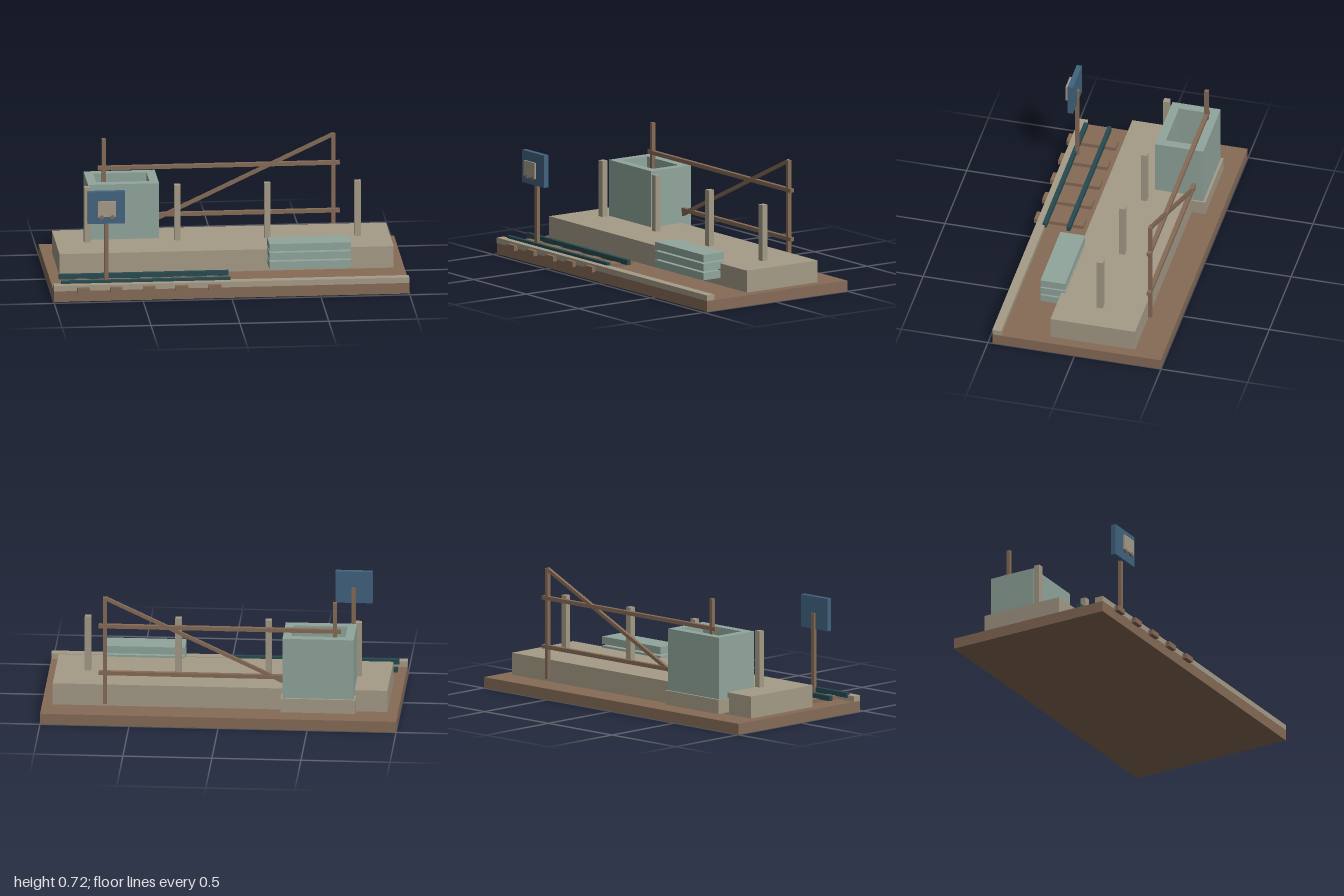
import * as THREE from 'three';

export function createModel() {
  const model = new THREE.Group();
  model.name = 'railwayYard';

  const mat = (name, color) => {
    const m = new THREE.MeshStandardMaterial({ color });
    m.name = name;
    return m;
  };
  const brown = mat('brownTimber', 0x866b57);
  const stone = mat('paleStone', 0xa59b87);
  const mint = mat('greyGreen', 0x91a69c);
  const rail = mat('darkTealSteel', 0x254a50);
  const blue = mat('signBlue', 0x41637f);

  const add = (name, geometry, material, x, y, z) => {
    const mesh = new THREE.Mesh(geometry, material);
    mesh.name = name;
    mesh.position.set(x, y, z);
    model.add(mesh);
    return mesh;
  };
  // Box given by its minimum and maximum along each axis
  const box = (name, material, [x0, x1], [y0, y1], [z0, z1]) =>
    add(name, new THREE.BoxGeometry(x1 - x0, y1 - y0, z1 - z0), material,
      (x0 + x1) / 2, (y0 + y1) / 2, (z0 + z1) / 2);

  // Ground, platform and front curb
  box('ground', brown, [-1, 1], [0, 0.062], [-0.498, 0.474]);
  box('platform', stone, [-0.94, 0.94], [0.062, 0.187], [-0.335, 0.154]);
  box('curb', stone, [-1, 1], [0.062, 0.094], [0.424, 0.475]);

  // Row of platform posts
  for (const x of [-0.763, -0.256, 0.25, 0.758])
    box('platformPost', stone, [x - 0.0175, x + 0.0175], [0.187, 0.507], [-0.107, -0.072]);

  // Open-topped tank: a rectangular wall ring on a plinth
  box('tankPlinth', stone, [-0.765, -0.345], [0.075, 0.156], [-0.417, -0.112]);
  const rect = (path, w, d) => path.moveTo(-w, -d).lineTo(w, -d).lineTo(w, d).lineTo(-w, d).closePath();
  const ring = rect(new THREE.Shape(), 0.2, 0.139);
  ring.holes.push(rect(new THREE.Path(), 0.15, 0.089));
  const wall = new THREE.ExtrudeGeometry(ring, { depth: 0.351, bevelEnabled: false });
  wall.rotateX(-Math.PI / 2);
  add('tankWalls', wall, mint, -0.555, 0.156, -0.264);

  // Timber frame with rails and a diagonal brace
  for (const x of [-0.647, 0.645])
    box('framePost', brown, [x - 0.011, x + 0.011], [0.08, 0.71], [-0.36, -0.338]);
  for (const y of [0.262, 0.54])
    box('frameRail', brown, [-0.68, 0.68], [y - 0.011, y + 0.011], [-0.361, -0.337]);
  const low = new THREE.Vector2(-0.645, 0.1), high = new THREE.Vector2(0.645, 0.706);
  const span = high.clone().sub(low);
  const brace = add('frameBrace', new THREE.BoxGeometry(span.length(), 0.02, 0.018), brown,
    0, (low.y + high.y) / 2, -0.349);
  brace.rotation.z = span.angle();

  // Stack of slabs
  for (let i = 0; i < 3; i++) {
    const y = 0.105 + i * 0.0515;
    box('stackedSlab', mint, [0.23, 0.69], [y, y + 0.042], [0.132, 0.275]);
  }

  // Track: sleepers and two rails
  for (let i = 0; i < 5; i++) {
    const x = -0.835 + i * 0.185;
    box('sleeper', brown, [x - 0.035, x + 0.035], [0.053, 0.083], [0.216, 0.5]);
  }
  for (const z of [0.288, 0.425])
    box('trackRail', rail, [-0.955, -0.002], [0.08, 0.108], [z - 0.0115, z + 0.0115]);

  // Sign on a post, with a small wagon emblem
  box('signPost', brown, [-0.711, -0.689], [0.08, 0.532], [0.4, 0.422]);
  box('signPanel', blue, [-0.805, -0.597], [0.44, 0.625], [0.411, 0.441]);
  box('wagonEmblem', stone, [-0.752, -0.65], [0.486, 0.576], [0.457, 0.468]);
  for (const x of [-0.73, -0.67]) {
    const wheel = new THREE.CylinderGeometry(0.012, 0.012, 0.012, 12).rotateX(Math.PI / 2);
    add('emblemWheel', wheel, brown, x, 0.485, 0.4625);
  }

  return model;
}
